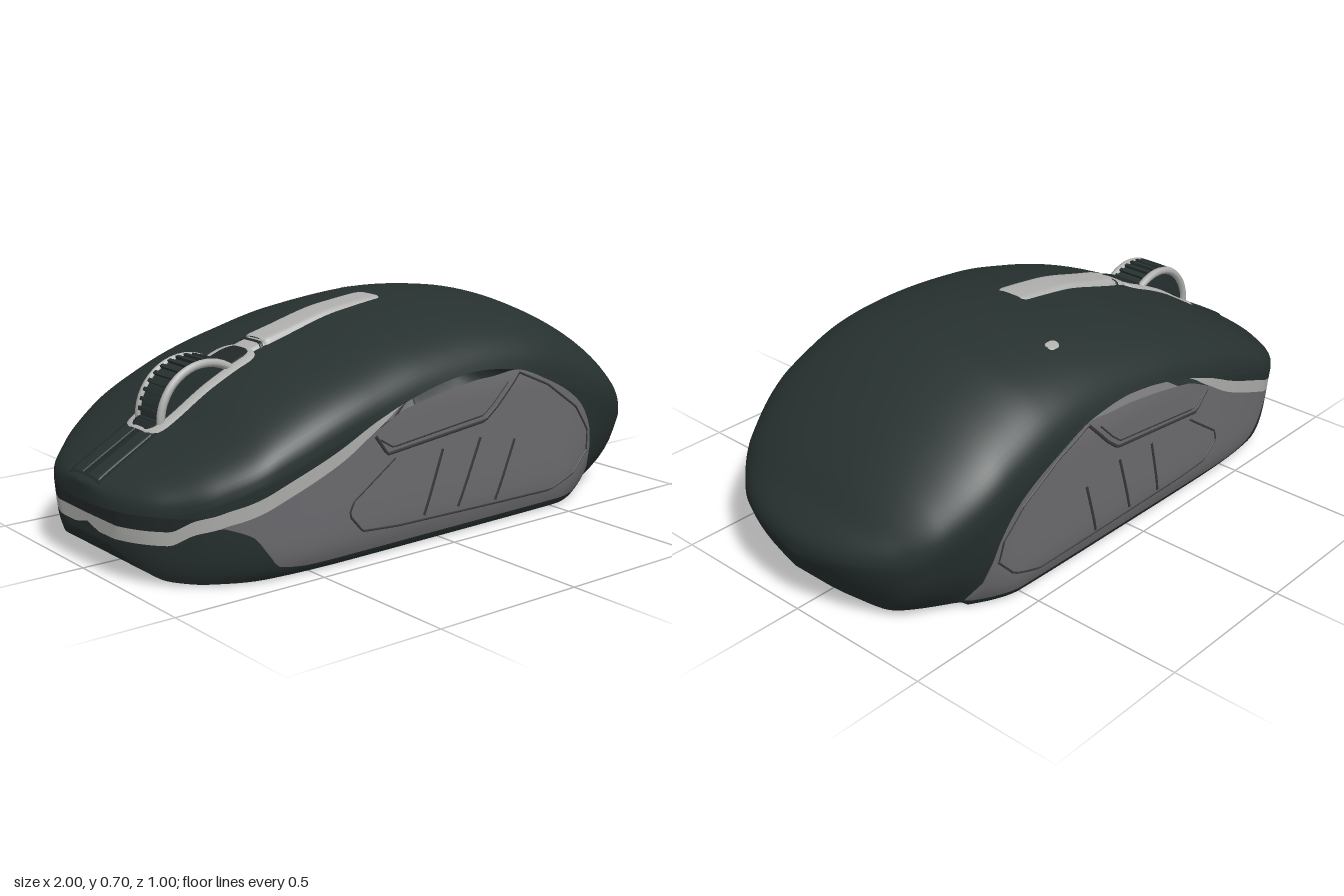
import * as THREE from 'three';

const mat = (name, color, side = THREE.DoubleSide) => {
  const m = new THREE.MeshStandardMaterial({ color, side });
  m.name = name;
  return m;
};

// Smooth monotone curve through [x, value] pairs, eased towards both ends of the body
const ease = x => Math.acos(THREE.MathUtils.clamp(-x, -1, 1));
function curve(pts) {
  const t = pts.map(p => ease(p[0])), v = pts.map(p => p[1]), n = pts.length;
  const d = t.slice(1).map((b, i) => (v[i + 1] - v[i]) / (b - t[i]));
  const m = t.map((_, i) => {
    if (i === 0) return d[0];
    if (i === n - 1) return d[n - 2];
    return d[i - 1] * d[i] <= 0 ? 0 : 2 * d[i - 1] * d[i] / (d[i - 1] + d[i]);
  });
  return x => {
    const e = ease(x);
    let i = 0;
    while (i < n - 2 && e > t[i + 1]) i++;
    const h = t[i + 1] - t[i], s = (e - t[i]) / h, s2 = s * s, s3 = s2 * s;
    return v[i] * (2 * s3 - 3 * s2 + 1) + m[i] * h * (s3 - 2 * s2 + s)
      + v[i + 1] * (3 * s2 - 2 * s3) + m[i + 1] * h * (s3 - s2);
  };
}

// Hull: half width, crown height, height of widest line, underside, tuck-in at the bottom and its sharpness
const W = curve([[-1, 0], [-.995, .105], [-.98, .175], [-.94, .27], [-.88, .345], [-.8, .418], [-.65, .485],
  [-.4, .5], [0, .495], [.6, .48], [.8, .42], [.9, .33], [.97, .195], [1, 0]]);
const T = curve([[-1, .26], [-.97, .285], [-.9, .325], [-.74, .415], [-.6, .5], [-.47, .56], [-.3, .615],
  [-.1, .668], [.2, .7], [.4, .683], [.55, .633], [.7, .545], [.85, .42], [.93, .33], [1, .23]]);
const E = curve([[-1, .2], [-.9, .22], [-.6, .33], [-.3, .42], [0, .45], [.3, .45], [.6, .38], [.8, .28], [.9, .23], [1, .22]]);
const U = curve([[-1, .14], [-.98, .1], [-.95, .06], [-.88, .012], [-.8, .006], [.66, .006], [.68, .02],
  [.83, .02], [.9, .055], [.94, .09], [.97, .14], [1, .21]]);
const K = curve([[-1, .3], [-.8, .14], [-.5, .12], [.5, .12], [.68, .25], [.85, .42], [.95, .8], [1, 1]]);
const P = curve([[-1, 4], [-.8, 6], [-.5, 10], [.5, 10], [.7, 3.5], [1, 3]]);
// Lower edge of the shell, then the bands and the open slit beneath it
const shellEdge = curve([[-1, .21], [-.87, .21], [-.75, .24], [-.6, .3], [-.45, .36], [-.3, .43], [-.15, .48],
  [0, .51], [.1, .518], [.25, .505], [.4, .45], [.55, .36], [.62, .26], [.65, .15], [.68, .02], [.83, .0], [1, .0]]);
const grooveEdge = curve([[-1, .165], [-.9, .17], [-.85, .205], [-.78, .23], [-.7, .3], [-.6, .5], [1, .6]]);
const trimWidth = curve([[-1, .042], [-.85, .042], [-.6, .046], [-.42, .042], [-.3, .025], [-.2, 0], [1, 0]]);
const slitWidth = curve([[-1, 0], [-.33, 0], [-.2, .018], [0, .027], [.14, .022], [.28, 0], [1, 0]]);
const sideEdge = curve([[-1, .25], [-.88, .21], [-.78, .18], [-.71, .15], [-.67, .1], [-.62, .045], [-.5, .03], [.66, .03], [1, .03]]);

const POW = .75;
const B = x => Math.min(Math.max(shellEdge(x), U(x)), T(x) - .005);
const G = x => Math.max(U(x), Math.min(B(x), grooveEdge(x)));
const H = x => Math.max(U(x), G(x) - trimWidth(x));
const S = x => Math.max(U(x), H(x) - slitWidth(x));
const D = x => Math.max(U(x), Math.min(S(x), sideEdge(x)));

// Half width of the hull at a height, and crown height at a sideways offset
function zAt(x, y) {
  const e = E(x);
  if (y > e) {
    const c = Math.min(1, Math.pow((y - e) / (T(x) - e), 1 / POW));
    return W(x) * Math.sqrt(1 - c * c);
  }
  const q = Math.min(1, (e - y) / Math.max(.001, e - U(x)));
  return W(x) * (1 - K(x) * (.45 * q + .55 * q ** P(x)));
}
const topY = (x, z) => {
  const s = Math.min(1, Math.abs(z) / Math.max(.001, W(x)));
  return E(x) + (T(x) - E(x)) * Math.pow(1 - s * s, POW / 2);
};

// Grid surface from fn(u, v), with u and v from 0 to 1
function grid(nu, nv, fn, flip = false) {
  const pos = [], idx = [];
  for (let i = 0; i <= nu; i++) for (let j = 0; j <= nv; j++) pos.push(...fn(i / nu, j / nv));
  for (let i = 0; i < nu; i++) for (let j = 0; j < nv; j++) {
    const a = i * (nv + 1) + j, b = a + 1, c = a + nv + 1, d = c + 1;
    if (flip) idx.push(a, c, b, b, c, d); else idx.push(a, b, c, b, d, c);
  }
  const g = new THREE.BufferGeometry();
  g.setAttribute('position', new THREE.Float32BufferAttribute(pos, 3));
  g.setIndex(idx);
  g.computeVertexNormals();
  return g;
}
const along = u => -Math.cos(Math.PI * u);
// The nose below the shell is set back slightly
const setBack = x => Math.max(x, -.98);

export function createModel() {
  const root = new THREE.Group();
  root.name = 'computerMouse';
  const shellMat = mat('dark shell', 0x273130);
  const sideMat = mat('side grey', 0x6d6d71);
  const baseMat = mat('base grey', 0x7a7a7d, THREE.FrontSide);
  const trimMat = mat('light trim', 0xb0b0ae);
  const grooveMat = mat('groove black', 0x222829);
  const seamMat = mat('seam grey', 0x3a3a3d, THREE.FrontSide);
  const add = (name, geo, m, parent = root) => {
    const mesh = new THREE.Mesh(geo, m);
    mesh.name = name;
    parent.add(mesh);
    return mesh;
  };

  // Top shell
  add('topShell', grid(140, 56, (u, v) => {
    const x = along(u), s = v * 2 - 1, t = Math.abs(s), e = E(x), b = B(x);
    const c = b > e ? Math.pow((b - e) / (T(x) - e), 1 / POW) : 0;
    const a = Math.min(1, t / .75) * Math.acos(Math.min(1, c));
    let y = e + (T(x) - e) * Math.pow(Math.max(0, Math.cos(a)), POW), z = W(x) * Math.sin(a);
    if (t > .75 && b < e) {
      y = e + (b - e) * (t - .75) / .25;
      z = zAt(x, y);
    }
    return [x, y, Math.sign(s) * z];
  }), shellMat);

  // Bands of each flank, following the hull below the shell
  const bands = [['ShellGap', B, G, grooveMat, 3], ['TrimStrip', G, H, trimMat, 3],
    ['SidePanel', S, D, sideMat, 16], ['LowerBody', D, U, shellMat, 8]];
  for (const s of [1, -1]) for (const [name, hi, lo, m, n] of bands) {
    add((s > 0 ? 'front' : 'rear') + name, grid(140, n, (u, v) => {
      const x = along(u), y = hi(x) + (lo(x) - hi(x)) * v;
      return [setBack(x), y, s * zAt(x, y)];
    }, s < 0), m);
  }

  // Underside, inset base plate and its seam line
  add('underside', grid(140, 4, (u, v) => {
    const x = along(u);
    return [setBack(x), U(x), (v * 2 - 1) * zAt(x, U(x))];
  }, true), shellMat);
  const plate = new THREE.Shape();
  plate.moveTo(-.66, -.41);
  plate.lineTo(.55, -.41);
  plate.quadraticCurveTo(.6, -.4, .64, -.32);
  plate.lineTo(.64, .32);
  plate.quadraticCurveTo(.6, .4, .55, .41);
  plate.lineTo(-.66, .41);
  plate.bezierCurveTo(-.78, .39, -.87, .28, -.87, .15);
  plate.lineTo(-.87, -.15);
  plate.bezierCurveTo(-.87, -.28, -.78, -.39, -.66, -.41);
  const plateGeo = new THREE.ExtrudeGeometry(plate, { depth: .0065, bevelEnabled: false, curveSegments: 10 });
  add('basePlate', plateGeo.rotateX(-Math.PI / 2).translate(0, .0015, 0), baseMat);
  const line = plate.getPoints(8).map(p => new THREE.Vector3(-.115 + (p.x + .115) * .93, .0022, p.y * .88));
  add('basePlateSeam', new THREE.TubeGeometry(new THREE.CatmullRomCurve3(line, false, 'centripetal'), 120, .0022, 6), shellMat);

  // Rounded inlays lying on the crown; the lift may change from nose end to tail end
  const inlay = (name, x0, x1, half, r, lift, m, z0 = 0, tailLift = lift) => add(name, grid(40, 16, (u, v) => {
    const x = (x0 + x1) / 2 + along(u) * (x1 - x0) / 2, s = v * 2 - 1;
    const k = Math.max(0, 1 - Math.min(x - x0, x1 - x) / r);
    const z = z0 + s * (half - r + r * Math.sqrt(Math.max(0, 1 - k * k)));
    return [x, topY(x, z) + (lift + (tailLift - lift) * u) * (1 - 1.3 * s ** 10), z];
  }), m);
  inlay('noseChannel', -.985, -.78, .09, .005, .003, grooveMat);
  for (const z of [-.045, .045]) inlay('noseRidge', -.98, -.8, .034, .004, .006, shellMat, z);
  inlay('wheelSurround', -.805, -.425, .1, .05, .008, trimMat);
  inlay('wheelSlot', -.797, -.435, .074, .04, .011, grooveMat);
  inlay('inlayBridge', -.435, -.375, .055, .004, .01, trimMat);
  inlay('bridgeSlot', -.4, -.388, .06, .004, .014, grooveMat);
  inlay('crownInlay', -.385, .07, .062, .02, .02, trimMat, 0, .003);
  inlay('indicatorDot', .185, .23, .018, .016, .003, trimMat, -.29);

  // Scroll wheel with ribbed tread and two thin rims
  const wheel = new THREE.Group();
  wheel.name = 'scrollWheel';
  wheel.position.set(-.6, .405, 0);
  root.add(wheel);
  add('wheelTread', new THREE.CylinderGeometry(.163, .163, .12, 48).rotateX(Math.PI / 2), shellMat, wheel);
  for (let i = 0; i < 36; i++) {
    const a = i / 36 * Math.PI * 2;
    const rib = add('treadRib', new THREE.BoxGeometry(.014, .012, .1), shellMat, wheel);
    rib.position.set(Math.cos(a) * .165, Math.sin(a) * .165, 0);
    rib.rotation.z = a;
  }
  for (const s of [1, -1]) {
    const rim = add('wheelRim', new THREE.TorusGeometry(.16, .013, 8, 48), trimMat, wheel);
    rim.position.z = s * .06;
  }

  // Panel seams, thumb button outline and grip slashes
  const seams = [
    ['buttonSeam', .006, [[-.31, .385], [-.26, .322], [.13, .36], [.18, .4], [.27, .492]]],
    ['buttonLowerSeam', .003, [[-.29, .37], [-.24, .34], [.12, .378], [.16, .41], [.22, .47]]],
    ['gripSeam', .004, [[-.23, .305], [-.38, .2], [-.395, .16], [-.34, .1], [-.2, .088], [.2, .078], [.45, .073],
      [.56, .11], [.625, .18]]],
    ['gripRearSeam', .004, [[.27, .492], [.4, .435], [.54, .34], [.61, .25], [.62, .18]]],
    ['gripSlash', .006, [[-.1, .1], [-.04, .3]]],
    ['gripSlash', .006, [[.04, .1], [.115, .31]]],
    ['gripSlash', .006, [[.2, .09], [.265, .28]]]
  ];
  for (const s of [1, -1]) for (const [name, r, pts] of seams) {
    const path = new THREE.CurvePath();
    for (let i = 1; i < pts.length; i++) for (let k = 0; k < 4; k++) {
      const at = f => {
        const x = pts[i - 1][0] + (pts[i][0] - pts[i - 1][0]) * f, y = pts[i - 1][1] + (pts[i][1] - pts[i - 1][1]) * f;
        return new THREE.Vector3(x, y, s * (zAt(x, y) - r * .4));
      };
      path.add(new THREE.LineCurve3(at(k / 4), at((k + 1) / 4)));
    }
    add(name, new THREE.TubeGeometry(path, pts.length * 8, r, 6), seamMat);
  }
  return root;
}
